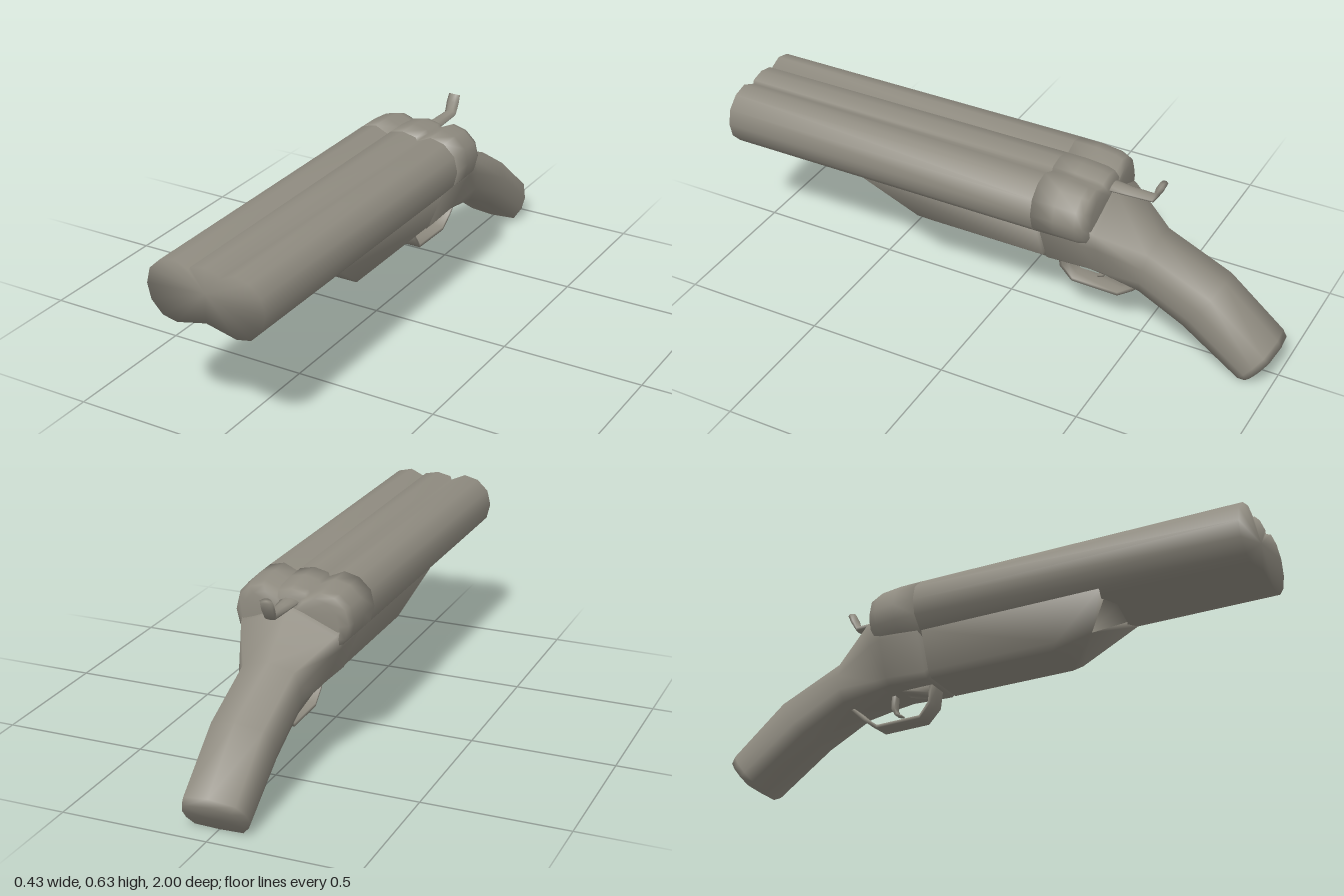
import * as THREE from 'three';

const gunmetal = new THREE.MeshStandardMaterial({ color: 0x8f8b80 });
gunmetal.name = 'warm grey';

// Mirrors a half outline running from bottom centre over +x to top centre.
const mirror = (half) => [
  ...half,
  ...half.slice(1, -1).reverse().map(([x, ...rest]) => [-x, ...rest]),
];

// Skins a row of rings, front to back, and closes both ends with fans.
function loft(name, rings) {
  const n = rings[0].length;
  const points = rings.flat();
  const index = [];
  for (let i = 0; i < rings.length - 1; i++) {
    for (let j = 0; j < n; j++) {
      const a = i * n + j, b = i * n + (j + 1) % n;
      index.push(a, a + n, b, b, a + n, b + n);
    }
  }
  const cap = (ring, start, back) => {
    const centre = [0, 1, 2].map((k) => ring.reduce((s, p) => s + p[k], 0) / n);
    const c = points.push(centre) - 1;
    for (let j = 0; j < n; j++) {
      const a = start + j, b = start + (j + 1) % n;
      index.push(c, back ? b : a, back ? a : b);
    }
  };
  cap(rings[0], 0, false);
  cap(rings[rings.length - 1], (rings.length - 1) * n, true);
  const geometry = new THREE.BufferGeometry();
  geometry.setAttribute('position', new THREE.Float32BufferAttribute(points.flat(), 3));
  geometry.setIndex(index);
  geometry.computeVertexNormals();
  const mesh = new THREE.Mesh(geometry, gunmetal);
  mesh.name = name;
  return mesh;
}

// Sweeps a flat bar along [z, y, half width, half thickness] stations.
function bar(name, path, section = [[0, -1], [1, -1], [1, 1], [0, 1]]) {
  return loft(name, path.map(([z, y, w, t], i) => {
    const p = path[Math.max(i - 1, 0)], q = path[Math.min(i + 1, path.length - 1)];
    const dz = q[0] - p[0], dy = q[1] - p[1], len = Math.hypot(dz, dy);
    return mirror(section.map(([u, v]) => [u * w, y - v * t * dz / len, z + v * t * dy / len]));
  }));
}

export function createModel() {
  const group = new THREE.Group();
  group.name = 'doubleBarrelGun';

  // Paired barrels with a sighting rib between them
  const outline = [
    [0, 0.427], [0.108, 0.402], [0.16, 0.413], [0.2, 0.455], [0.213, 0.508], [0.2, 0.562],
    [0.16, 0.6], [0.108, 0.613], [0.055, 0.589], [0.05, 0.602], [0, 0.613],
  ];
  const barrelRing = (z, s = 1, drop = 0) => mirror(outline.map(
    ([x, y]) => [x * s, 0.508 + (y - 0.508) * s - drop, z]));
  group.add(loft('barrels', [barrelRing(1), barrelRing(-0.18)]));

  // Rounded breech behind the barrels
  group.add(loft('breech', [
    barrelRing(-0.18), barrelRing(-0.26, 0.995), barrelRing(-0.335, 0.975, 0.005),
    barrelRing(-0.36, 0.93, 0.008), barrelRing(-0.378, 0.8, 0.01),
  ]));

  // Fore-end with a sloping nose
  const fore = [[0, 0.262], [0.085, 0.262], [0.108, 0.282], [0.16, 0.412], [0.108, 0.412], [0, 0.43]];
  group.add(loft('foreEnd', [
    mirror(fore.map(([x, y]) => [x, y, 0.28 + Math.min(y - 0.262, 0.15) * 1.4])),
    mirror(fore.map(([x, y]) => [x, y, -0.175])),
  ]));

  // Frame running into the curved grip
  const flat = (z, half) => mirror(half.map(([x, y]) => [x, y, z]));
  const gripProfile = [[0, 0], [0.09, 0.04], [0.108, 0.3], [0.108, 0.6], [0.088, 0.88], [0, 1]];
  const gripRing = (bz, by, tz, ty, s = 1) => mirror(gripProfile.map(
    ([x, t]) => [x * s, by + (ty - by) * t, bz + (tz - bz) * t]));
  group.add(loft('frameAndGrip', [
    flat(-0.19, [[0, 0.262], [0.09, 0.262], [0.11, 0.28], [0.16, 0.41], [0.16, 0.5], [0, 0.54]]),
    flat(-0.34, [[0, 0.265], [0.088, 0.267], [0.111, 0.287], [0.165, 0.41], [0.18, 0.5], [0, 0.56]]),
    flat(-0.39, [[0, 0.257], [0.086, 0.26], [0.11, 0.285], [0.15, 0.4], [0.168, 0.47], [0, 0.54]]),
    gripRing(-0.52, 0.233, -0.55, 0.412),
    gripRing(-0.68, 0.15, -0.79, 0.305),
    gripRing(-0.885, 0.006, -0.985, 0.137),
    gripRing(-0.91, 0.0, -1, 0.115, 0.92),
  ]));

  // Trigger guard loop, its front root and the trigger
  group.add(bar('triggerGuard', [
    [-0.203, 0.27, 0.038, 0.006], [-0.21, 0.2, 0.036, 0.006], [-0.25, 0.154, 0.033, 0.006],
    [-0.42, 0.151, 0.033, 0.006], [-0.47, 0.187, 0.033, 0.006], [-0.525, 0.24, 0.033, 0.006],
  ]));
  group.add(loft('guardRoot', [
    flat(-0.21, [[0, 0.232], [0.036, 0.236], [0.038, 0.275], [0, 0.275]]),
    flat(-0.32, [[0, 0.262], [0.03, 0.263], [0.03, 0.275], [0, 0.275]]),
  ]));
  group.add(bar('trigger', [
    [-0.335, 0.183, 0.012, 0.003], [-0.355, 0.192, 0.015, 0.005],
    [-0.367, 0.215, 0.015, 0.006], [-0.365, 0.275, 0.015, 0.007],
  ]));

  // Hammer lever with an upturned thumb piece
  group.add(bar('hammer', [
    [-0.35, 0.563, 0.036, 0.011], [-0.44, 0.56, 0.026, 0.011], [-0.524, 0.561, 0.022, 0.011],
    [-0.54, 0.595, 0.024, 0.013], [-0.553, 0.622, 0.022, 0.012],
  ], [[0, -1], [0.8, -0.8], [1, 0], [0.5, 0.8], [0, 1]]));

  return group;
}
